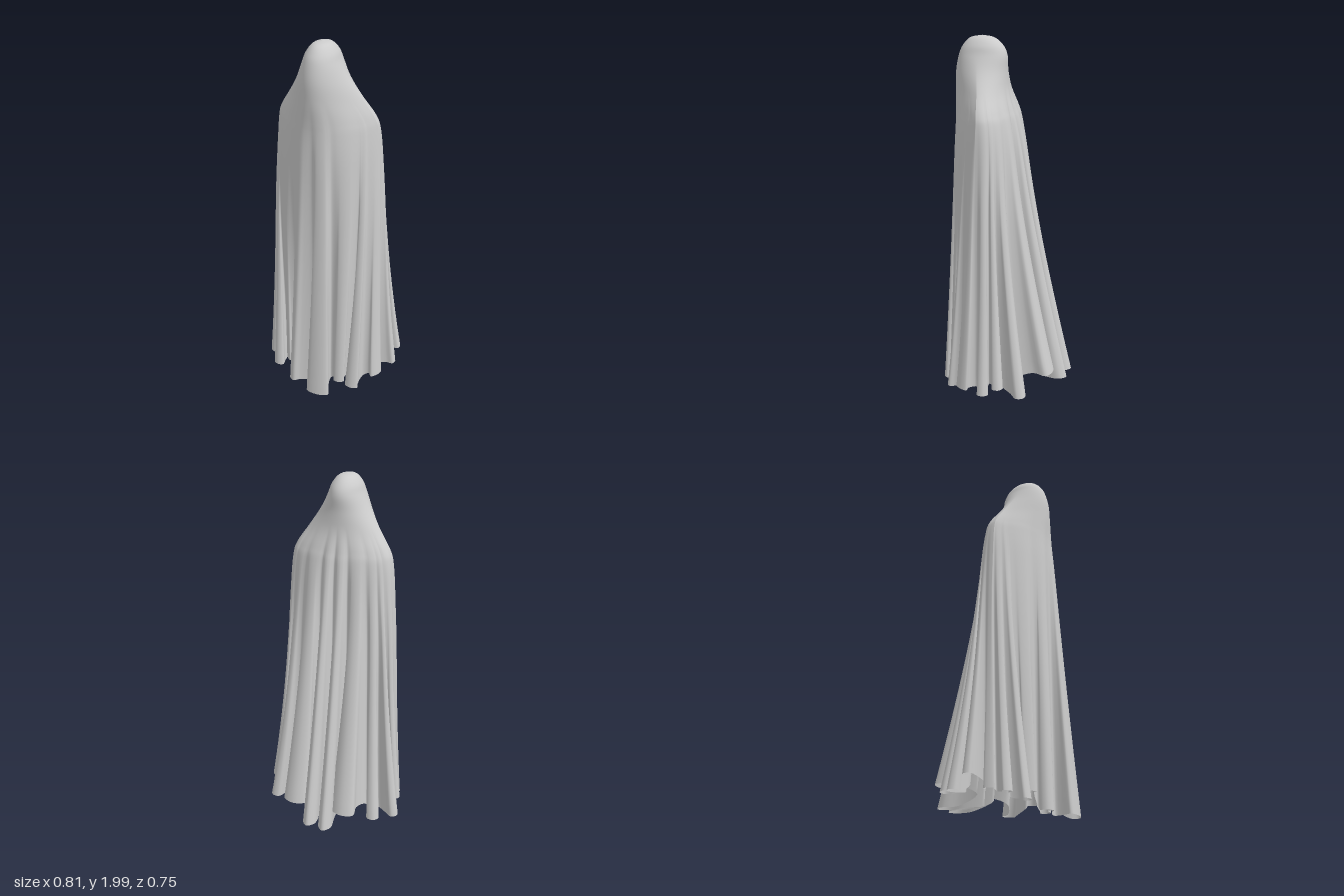
import * as THREE from 'three';

// Cloth over head and shoulders: y, half width, back z, middle z, front z, back and front roundness
const BODY = [
  [2, 0, 0.13, 0.13, 0.13, 1, 1],
  [1.988, 0.043, 0.068, 0.13, 0.195, 1, 1],
  [1.95, 0.075, 0.022, 0.13, 0.235, 1, 1],
  [1.9, 0.095, 0, 0.13, 0.258, 1, 1],
  [1.82, 0.136, -0.002, 0.12, 0.274, 1.1, 1.4],
  [1.72, 0.2, -0.012, 0.1, 0.275, 1, 2],
  [1.63, 0.259, -0.03, 0.085, 0.27, 0.8, 2.2],
  [1.56, 0.279, -0.042, 0.08, 0.268, 0.7, 2],
  [1.4, 0.291, -0.05, 0.08, 0.27, 0.65, 1.7],
  [1.1, 0.302, -0.05, 0.08, 0.27, 0.65, 1.5],
  [0.6, 0.303, -0.05, 0.08, 0.27, 0.65, 1.4],
  [0.1, 0.303, -0.05, 0.08, 0.27, 0.65, 1.4],
];

// Folds of the hem, from the back round by the left side:
// tip x, tip z, width, x and z of the valley after it, hem height
const FOLDS = [
  [0.04, -0.37, 0.075, 0.08, -0.12, 0.1],
  [0.145, -0.315, 0.14, 0.23, -0.12, 0.19],
  [0.345, -0.195, 0.07, 0.295, -0.04, 0.11],
  [0.4, -0.07, 0.06, 0.315, 0.01, 0.17],
  [0.405, 0.02, 0.06, 0.31, 0.085, 0.12],
  [0.35, 0.17, 0.08, 0.265, 0.19, 0.11],
  [0.23, 0.285, 0.075, 0.19, 0.2, 0.06],
  [0.165, 0.3, 0.06, 0.09, 0.25, 0.09],
  [0.055, 0.37, 0.13, 0, 0.265, 0.015],
  [-0.15, 0.3, 0.065, -0.105, 0.225, 0.015],
  [-0.195, 0.24, 0.06, -0.215, 0.19, 0.1],
  [-0.25, 0.265, 0.06, -0.275, 0.17, 0.05],
  [-0.325, 0.195, 0.05, -0.305, 0.12, 0.08],
  [-0.345, 0.1, 0.055, -0.305, 0.06, 0.1],
  [-0.39, -0.01, 0.05, -0.31, -0.02, 0.17],
  [-0.405, -0.085, 0.06, -0.28, -0.06, 0.1],
  [-0.3, -0.2, 0.07, -0.23, -0.12, 0.12],
  [-0.14, -0.315, 0.14, -0.085, -0.12, 0.19],
  [-0.06, -0.375, 0.075, 0, -0.13, 0.1],
];

const STEPS = 4; // columns between hem control points
const FOLD_START = 1.75;
const HEM = 0.1;

// Angle about the body: 0 at the back, growing towards +x
const angleOf = (x, z) => Math.atan2(x / 0.3, (0.09 - z) / 0.2);

// Hem as a closed curve, with the matching body angle for each column
function makeHem() {
  const points = [], angles = [];
  let angle = 0;
  FOLDS.forEach(([tx, tz, width, vx, vz, y], i) => {
    const before = FOLDS[(i + FOLDS.length - 1) % FOLDS.length];
    const base = new THREE.Vector2((before[3] + vx) / 2, (before[4] + vz) / 2);
    const d = new THREE.Vector2(tx, tz).sub(base);
    const side = new THREE.Vector2(-d.y, d.x).normalize();
    const add = (along, across) => points.push(new THREE.Vector3(
      base.x + d.x * along + side.x * across * width, y,
      base.y + d.y * along + side.y * across * width));

    // valley, narrow neck, wide rounded tip, narrow neck
    points.push(new THREE.Vector3(before[3], (before[5] + y) / 2, before[4]));
    add(0.45, -0.38);
    add(0.84, -0.5);
    add(1, 0);
    add(0.84, 0.5);
    add(0.45, 0.38);

    let next = angleOf(vx, vz);
    while (next <= angle) next += Math.PI * 2;
    for (let k = 0; k < 6 * STEPS; k++) {
      angles.push(angle + (next - angle) * k / (6 * STEPS));
    }
    angle = next;
  });
  const curve = new THREE.CatmullRomCurve3(points, true, 'centripetal');
  return angles.map((a, j) => ({ a, p: curve.getPoint(j / angles.length) }));
}

// Loft from the smooth head and shoulders down to the folded hem
function makeSheet() {
  const hem = makeHem();
  const profile = new THREE.CubicInterpolant(BODY.map((_, i) => i), BODY.flat(), 7);
  const rows = 72, cols = hem.length;
  const position = [], index = [];
  for (let i = 0; i <= rows; i++) {
    const at = (BODY.length - 1) * i / rows;
    const [y, w, zBack, zMid, zFront, eBack, eFront] = Array.from(profile.evaluate(at));
    const t = THREE.MathUtils.clamp((FOLD_START - y) / (FOLD_START - HEM), 0, 1);
    for (const { a, p } of hem) {
      const c = Math.cos(a), sn = Math.sin(a);
      // the sides flare later than the back and front
      const s = Math.pow(t, 1.25 + 0.7 * sn * sn);
      const x = w * sn;
      const z = c > 0
        ? zMid + (zBack - zMid) * Math.pow(c, eBack)
        : zMid + (zFront - zMid) * Math.pow(-c, eFront);
      position.push(x + (p.x - x) * s, y + (p.y - HEM) * t, z + (p.z - z) * s);
    }
  }
  for (let i = 0; i < rows; i++) {
    for (let j = 0; j < cols; j++) {
      const a = i * cols + j, b = i * cols + (j + 1) % cols;
      if (i > 0) index.push(a, b, a + cols);
      index.push(b, b + cols, a + cols);
    }
  }
  const geometry = new THREE.BufferGeometry();
  geometry.setAttribute('position', new THREE.Float32BufferAttribute(position, 3));
  geometry.setIndex(index);
  geometry.computeVertexNormals();
  return geometry;
}

export function createModel() {
  const group = new THREE.Group();
  group.name = 'drapedFigure';
  const cloth = new THREE.MeshStandardMaterial({ color: 0xcccccc, side: THREE.DoubleSide });
  const sheet = new THREE.Mesh(makeSheet(), cloth);
  sheet.name = 'drapedSheet';
  group.add(sheet);
  return group;
}
